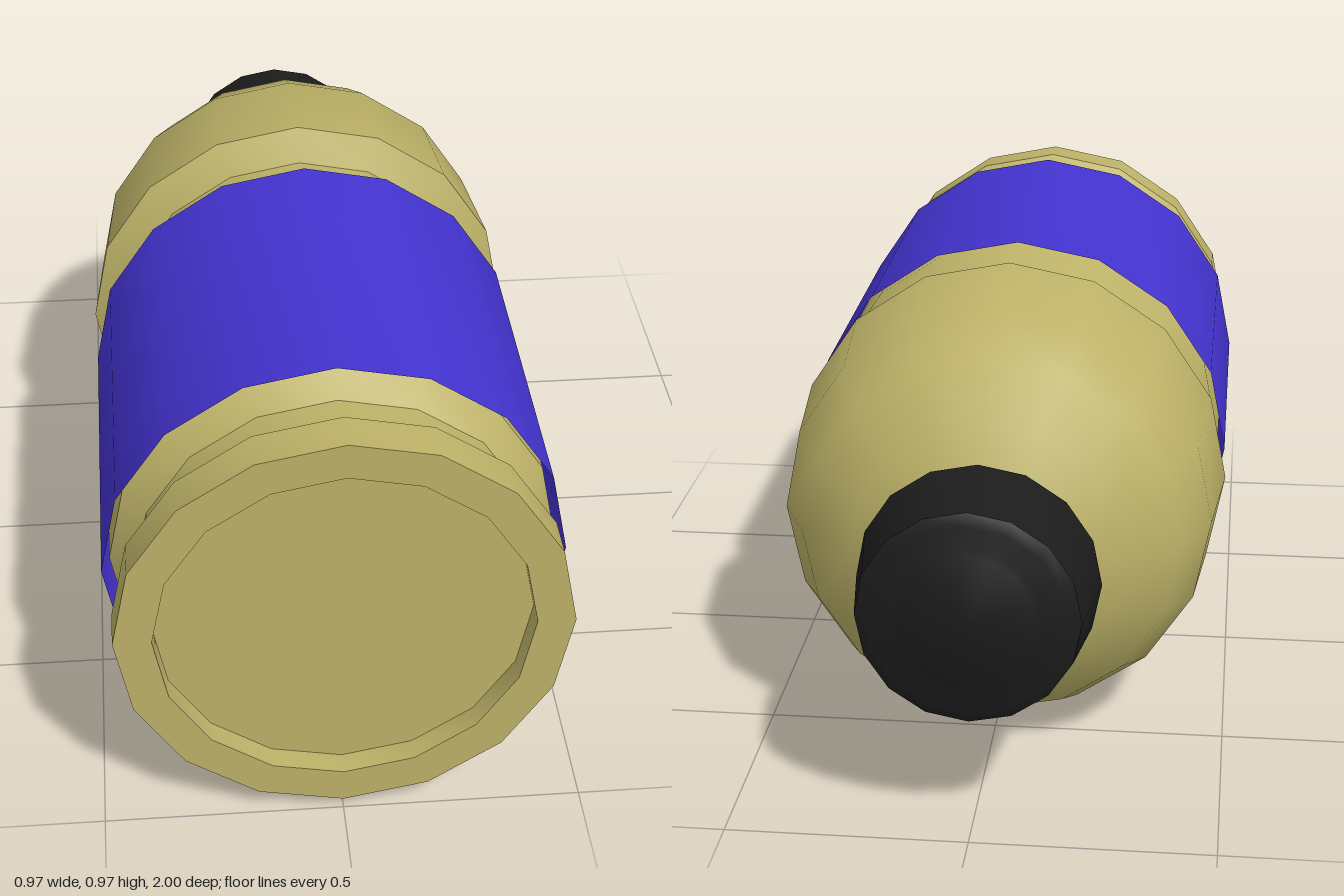
import * as THREE from 'three';
import { toCreasedNormals } from 'three/addons/utils/BufferGeometryUtils.js';

const SIDES = 16;
const AXIS_HEIGHT = 0.49;

// Turn a profile of [radius, distance towards the back] around the lying axis.
function turned(name, profile, color, side = THREE.FrontSide) {
  const points = profile.map(([r, d]) => new THREE.Vector2(r, d));
  const lathe = new THREE.LatheGeometry(points, SIDES).rotateX(-Math.PI / 2);
  const material = new THREE.MeshStandardMaterial({ color, side });
  const mesh = new THREE.Mesh(toCreasedNormals(lathe, 0.65), material);
  mesh.name = name;
  mesh.position.y = AXIS_HEIGHT;
  return mesh;
}

export function createModel() {
  const bottle = new THREE.Group();
  bottle.name = 'bottle';

  // Body: recessed base, foot ring, waist under the label, shoulder and neck
  bottle.add(turned('body', [
    [0, -0.95], [0.385, -0.95], [0.385, -1], [0.463, -1],
    [0.463, -0.91], [0.416, -0.86], [0.416, -0.79], [0.465, -0.73],
    [0.465, -0.06], [0.416, 0.07], [0.416, 0.146], [0.487, 0.185],
    [0.462, 0.45], [0.403, 0.58], [0.285, 0.67], [0.196, 0.713],
    [0.196, 0.82],
  ], 0xbdb268));

  // Label: thin open sleeve
  bottle.add(turned('label', [[0.482, -0.775], [0.482, 0.005]], 0x4433d0, THREE.DoubleSide));

  // Cap: tapered, with a bevelled rim and a shallow raised disc
  bottle.add(turned('cap', [
    [0.19, 0.795], [0.25, 0.795], [0.224, 0.98], [0.2, 0.994],
    [0.15, 0.994], [0.14, 1], [0, 1],
  ], 0x1c1c1c));

  return bottle;
}
